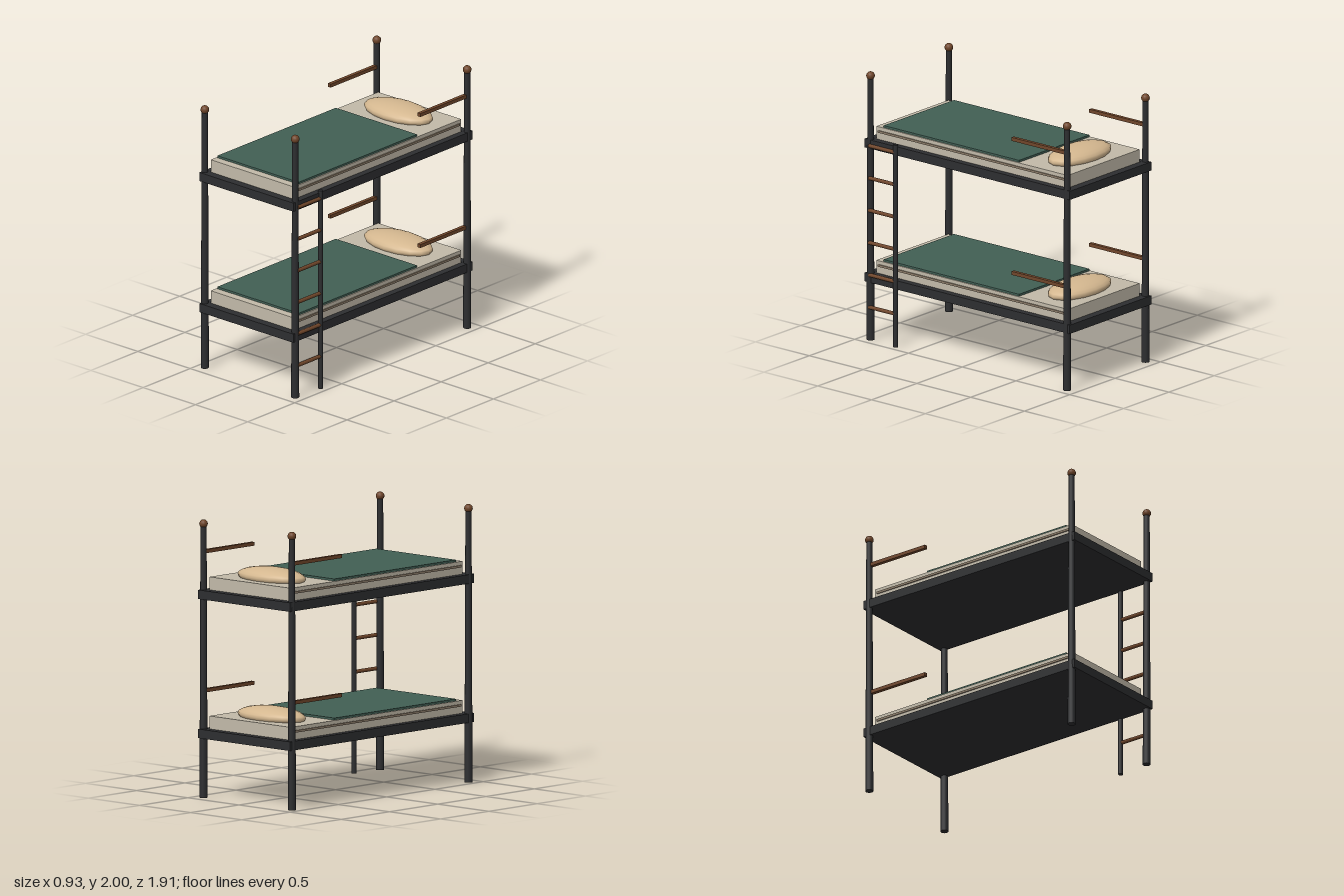
import * as THREE from 'three';

const mat = (name, color) => {
  const m = new THREE.MeshStandardMaterial({ color });
  m.name = name;
  return m;
};

export function createModel() {
  const metal = mat('dark metal', 0x2d2e30);
  const wood = mat('brown wood', 0x70462a);
  const linen = mat('pale linen', 0xc2baa9);
  const piping = mat('mattress piping', 0x8c7c69);
  const wool = mat('green wool', 0x415f54);
  const cotton = mat('tan cotton', 0xd4b78f);

  const model = new THREE.Group();
  model.name = 'bunkBed';
  const CX = -0.005; // bed axis, offset by the ladder on the left side

  const add = (parent, name, geometry, material, x, y, z) => {
    const mesh = new THREE.Mesh(geometry, material);
    mesh.name = name;
    mesh.position.set(x, y, z);
    parent.add(mesh);
    return mesh;
  };
  const box = (parent, name, m, w, h, d, x, y, z) =>
    add(parent, name, new THREE.BoxGeometry(w, h, d), m, x, y, z);

  // Tapered corner posts with ball finials
  for (const sx of [-1, 1]) for (const sz of [-1, 1]) {
    const x = CX + sx * 0.432, z = sz * 0.914;
    add(model, 'cornerPost', new THREE.CylinderGeometry(0.022, 0.029, 1.96, 14), metal, x, 0.98, z);
    add(model, 'postFinial', new THREE.SphereGeometry(0.031, 14, 10), wood, x, 1.969, z);
  }

  // One bunk: frame, bedding and short guard rails
  const makeBunk = (name, y) => {
    const bunk = new THREE.Group();
    bunk.name = name;
    bunk.position.set(CX, y, 0);
    model.add(bunk);
    box(bunk, 'bedBase', metal, 0.8, 0.05, 1.8, 0, 0.025, 0);
    for (const s of [-1, 1]) {
      box(bunk, 'sideRail', metal, 0.05, 0.065, 1.79, s * 0.425, 0.0325, 0);
      box(bunk, 'endRail', metal, 0.9, 0.065, 0.06, 0, 0.0325, s * 0.923);
      box(bunk, 'mattressPiping', piping, 0.01, 0.016, 1.74, s * 0.4, 0.123, 0);
      box(bunk, 'guardRail', wood, 0.028, 0.026, 0.5, s * 0.429, 0.34, -0.655);
    }
    box(bunk, 'mattress', linen, 0.794, 0.115, 1.78, 0, 0.1, 0);
    box(bunk, 'blanket', wool, 0.776, 0.018, 1.258, 0, 0.164, 0.2);
    const pillow = add(bunk, 'pillow', new THREE.SphereGeometry(1, 16, 12), cotton, 0, 0.178, -0.665);
    pillow.scale.set(0.3, 0.068, 0.16);
  };
  makeBunk('lowerBunk', 0.43);
  makeBunk('upperBunk', 1.43);

  // Ladder: outer stile and rungs reaching to the front post
  const ladder = new THREE.Group();
  ladder.name = 'ladder';
  model.add(ladder);
  add(ladder, 'ladderStile', new THREE.CylinderGeometry(0.018, 0.018, 1.51, 10), metal, 0.446, 0.755, 0.664);
  for (let i = 0; i < 6; i++) {
    const rung = add(ladder, 'ladderRung', new THREE.CylinderGeometry(0.014, 0.014, 0.245, 10), wood,
      0.446, 0.246 + i * 0.241, 0.787);
    rung.rotation.x = Math.PI / 2;
  }
  return model;
}
